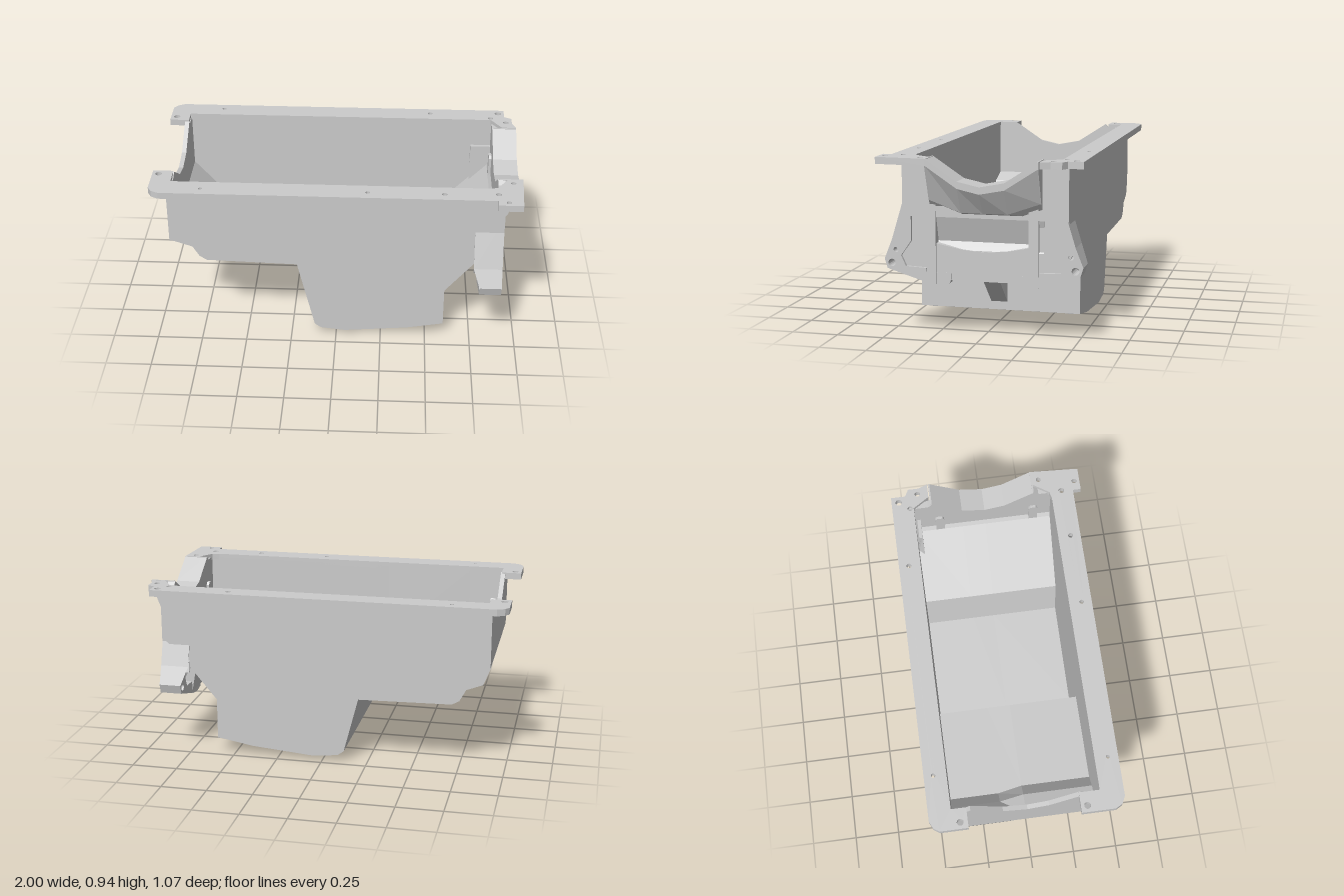
import * as THREE from 'three';

const grey = new THREE.MeshStandardMaterial({ color: 0xcccccc, flatShading: true, side: THREE.DoubleSide });
const MID = -0.02; // z of the pan's centre plane

function shapeOf(points, holes = []) {
  const shape = new THREE.Shape(points.map(([a, b]) => new THREE.Vector2(a, b)));
  for (const [a, b, r] of holes) shape.holes.push(new THREE.Path().absarc(a, b, r, 0, Math.PI * 2, true));
  return shape;
}

function extrude(points, depth, holes) {
  return new THREE.ExtrudeGeometry(shapeOf(points, holes), { depth, bevelEnabled: false, curveSegments: 8 });
}

// outline in (z, y), extruded from x0 to x1
function extrudeX(points, x0, x1, holes) {
  return extrude(points, x1 - x0, holes).rotateY(-Math.PI / 2).translate(x1, 0, 0);
}

// outline in (x, y), extruded from z0 to z1
function extrudeZ(points, z0, z1) {
  return extrude(points, z1 - z0).translate(0, 0, z0);
}

// outline in (x, z), extruded down from yTop
function extrudeY(points, yTop, depth, holes) {
  return extrude(points, depth, holes).rotateX(Math.PI / 2).translate(0, yTop, 0);
}

// skin between rows of points
function loft(rows, flip) {
  const pos = [];
  for (let i = 0; i < rows.length - 1; i++) {
    for (let j = 0; j < rows[0].length - 1; j++) {
      const a = rows[i][j], b = rows[i + 1][j], c = rows[i + 1][j + 1], d = rows[i][j + 1];
      pos.push(...(flip ? [a, c, b, a, d, c] : [a, b, c, a, c, d]).flat());
    }
  }
  const g = new THREE.BufferGeometry();
  g.setAttribute('position', new THREE.Float32BufferAttribute(pos, 3));
  g.computeVertexNormals();
  return g;
}

// trough skin: stations are [front x, front y, back x, back y] of the floor
function trough(stations, zFront, zBack, flip) {
  const top = 0.92;
  return loft(stations.map(([xf, yf, xb = xf, yb = yf]) => [
    [xf, top, zFront], [xf, yf, zFront], [xf, yf, -0.02],
    [xb, yb, -0.15], [xb, yb, zBack], [xb, top, zBack],
  ]), flip);
}

export function createModel() {
  const group = new THREE.Group();
  const add = (name, geometry) => {
    const mesh = new THREE.Mesh(geometry, grey);
    mesh.name = name;
    group.add(mesh);
    return mesh;
  };

  // Pan skins: shallow tray on the right, deep sump in the middle
  add('outerShell', trough([
    [-0.91, 0.6, -0.91, 0.59], [-0.875, 0.59, -0.875, 0.5], [-0.785, 0.56, -0.785, 0.465],
    [-0.75, 0.5, -0.75, 0.4], [-0.71, 0.475, -0.71, 0.378], [-0.215, 0.46, -0.2, 0.368],
    [-0.12, 0.06], [-0.085, 0.035], [0.05, 0.02], [0.4, 0.05], [0.6, 0.085],
    [0.6, 0.31], [0.75, 0.49], [0.87, 0.62], [0.905, 0.65],
  ], 0.415, -0.46, true));
  add('innerShell', trough([
    [-0.885, 0.62], [-0.77, 0.58, -0.77, 0.49], [-0.7, 0.505, -0.7, 0.405],
    [-0.22, 0.49, -0.19, 0.4], [-0.08, 0.065], [0.5, 0.1], [0.54, 0.34], [0.85, 0.66], [0.87, 0.69],
  ], 0.36, -0.42, false));

  // End walls with the saddle-shaped cutout
  const saddle = [[0.26, 0.94], [0.095, 0.83], [-0.02, 0.805], [-0.15, 0.83], [-0.32, 0.94]];
  const endWall = (base) => [[0.415, base], [0.415, 0.92], [0.29, 0.92], ...saddle, [-0.34, 0.92], [-0.46, 0.92], [-0.46, base]];
  add('rightEndWall', extrudeX(endWall(0.595), -0.91, -0.885));
  add('leftEndWall', extrudeX(endWall(0.63), 0.865, 0.905));

  // Overhanging seal lip, tapering back to the wall underneath
  const lip = saddle.map(([z, y]) => [
    [0.87, y], [1, y], [1, y - 0.037], [0.93, y > 0.9 ? 0.72 : 0.66], [0.87, 0.64], [0.87, y],
  ].map(([px, py]) => [px, py, z]));
  add('saddleLip', loft(lip, false));
  for (const k of [0, lip.length - 1]) {
    const z = saddle[k][0];
    add('lipEnd', extrudeZ(lip[k].slice(0, 5).map((p) => [p[0], p[1]]), z - 0.004, z + 0.004));
  }

  // Mounting flange in two halves with bolt holes
  add('backFlange', extrudeY([
    [-0.94, -0.54], [0.94, -0.54], [0.94, -0.46], [0.98, -0.44], [0.98, -0.38], [1, -0.33], [0.92, -0.33],
    [0.86, -0.42], [-0.89, -0.42], [-0.89, -0.34], [-1, -0.34], [-1, -0.49], [-0.98, -0.52],
  ], 0.94, 0.036, [[-0.965, -0.38, 0.018], [-0.7, -0.49, 0.012], [0.51, -0.485, 0.014],
    [0.86, -0.44, 0.014], [0.905, -0.5, 0.018], [0.945, -0.39, 0.015]]));
  add('frontFlange', extrudeY([
    [-1, 0.25], [-0.89, 0.25], [-0.89, 0.36], [0.82, 0.36], [0.86, 0.35], [0.92, 0.26], [1, 0.26],
    [0.985, 0.53], [0.855, 0.53], [0.855, 0.485], [-0.94, 0.485], [-0.98, 0.465], [-1, 0.43],
  ], 0.94, 0.036, [[-0.965, 0.285, 0.018], [-0.72, 0.43, 0.01], [0.17, 0.43, 0.012],
    [0.575, 0.43, 0.014], [0.86, 0.42, 0.016], [0.91, 0.5, 0.014], [0.945, 0.3, 0.014]]));

  // Transmission bracket: centre panel, then wings and ribs on both sides
  add('bracketCentre', extrudeZ([
    [0.785, 0.3], [0.895, 0.3], [0.895, 0.46], [0.86, 0.5], [0.905, 0.65], [0.87, 0.65], [0.87, 0.62], [0.75, 0.49],
  ], -0.33, 0.29));
  // bowed ledge across the centre panel
  add('bracketLedge', extrudeX([
    [0.25, 0.495], [0.1, 0.465], [-0.02, 0.455], [-0.14, 0.465], [-0.29, 0.495],
    [-0.29, 0.34], [-0.02, 0.33], [0.25, 0.34],
  ], 0.86, 0.903));
  for (const front of [true, false]) {
    const side = (points) => points.map(([z, y, r]) => [front ? z : 2 * MID - z + 0.02, y, r]);
    add('bracketWing', extrudeX(side([
      [0.27, 0.3], [0.27, 0.905], [0.385, 0.905], [0.385, 0.78], [0.46, 0.47], [0.42, 0.38], [0.38, 0.33],
    ]), 0.865, 0.888));

    // deep outer skirt with a mounting hole, cut back at the foot
    const skirt = extrudeX(side([
      [0.29, 0.285], [0.29, 0.36], [0.4, 0.365], [0.425, 0.42], [0.37, 0.5], [0.37, 0.78], [0.39, 0.78],
      [0.475, 0.5], [0.515, 0.4], [0.5, 0.35], [0.42, 0.325],
    ]), 0.75, 0.905, side([[0.475, 0.38, 0.02], [0.452, 0.45, 0.014]]));
    const p = skirt.attributes.position;
    for (let i = 0; i < p.count; i++) {
      if (p.getX(i) < 0.8 && p.getY(i) < 0.46) p.setX(i, 0.785);
    }
    skirt.computeVertexNormals();
    add('bracketSkirt', skirt);

    // upright rib with a rounded top
    add('bracketRib', extrudeX(side([
      [0.235, 0.28], [0.285, 0.28], [0.285, 0.78], [0.275, 0.79], [0.245, 0.79], [0.235, 0.775],
    ]), 0.85, 0.912));
    // foot below the rib
    add('bracketFoot', extrudeX(side([
      [0.155, 0.31], [0.165, 0.285], [0.23, 0.275], [0.3, 0.287], [0.3, 0.34], [0.155, 0.34],
    ]), 0.785, 0.904));
  }

  // Gusset between sump and bracket
  add('gusset', extrudeZ([[0.59, 0.13], [0.6, 0.13], [0.79, 0.3], [0.76, 0.49], [0.59, 0.31]], -0.065, 0.025));

  // Drain plug and raised bosses under the sump
  add('drainPlug', new THREE.CylinderGeometry(0.036, 0.03, 0.035, 6).translate(0.03, 0.0175, -0.28));
  for (const [x, y, z, tilt] of [[0.5, 0.068, 0.355, 0.16], [0.5, 0.068, -0.4, 0.16], [-0.03, 0.03, 0.355, -0.1]]) {
    const boss = add('sumpBoss', new THREE.TorusGeometry(0.03, 0.009, 6, 16).rotateX(Math.PI / 2));
    boss.position.set(x, y, z);
    boss.rotation.z = tilt;
  }
  return group;
}
